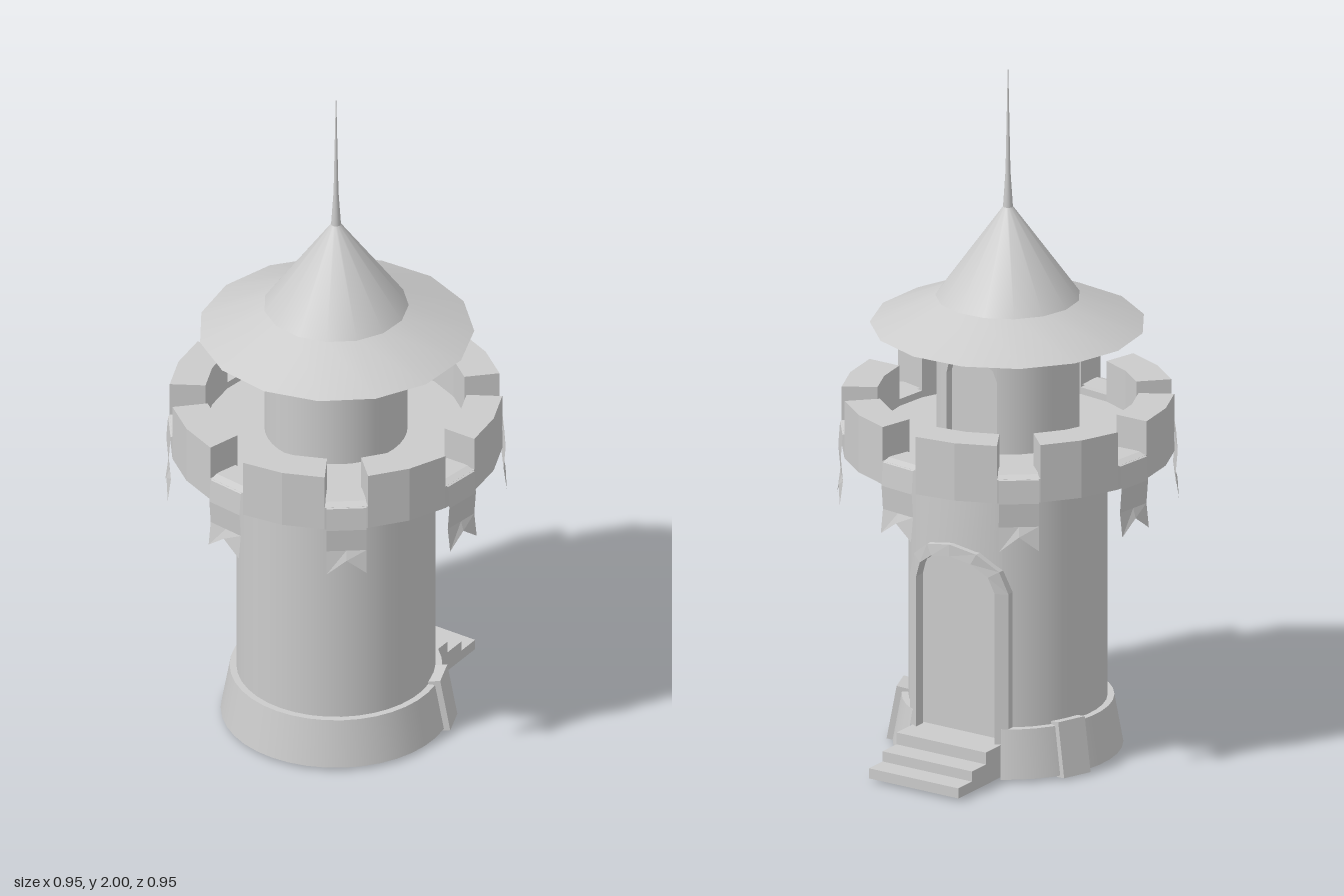
import * as THREE from 'three';

const smooth = new THREE.MeshStandardMaterial({ color: 0xcccccc, side: THREE.DoubleSide });
const flat = new THREE.MeshStandardMaterial({ color: 0xcccccc, side: THREE.DoubleSide, flatShading: true });
const STEP = Math.PI / 12; // one parapet segment

function add(parent, name, geometry, material = flat) {
  const mesh = new THREE.Mesh(geometry, material);
  mesh.name = name;
  parent.add(mesh);
  return mesh;
}

// Surface through rows of points
function grid(rows) {
  const n = rows[0].length;
  const index = [];
  for (let i = 0; i < rows.length - 1; i++) {
    for (let j = 0; j < n - 1; j++) {
      const a = i * n + j, b = a + n;
      index.push(a, b, a + 1, b, b + 1, a + 1);
    }
  }
  const geometry = new THREE.BufferGeometry().setFromPoints(rows.flat());
  geometry.setIndex(index);
  geometry.computeVertexNormals();
  return geometry;
}

function lathe(points, sides, phase = 0) {
  return new THREE.LatheGeometry(points.map(([r, y]) => new THREE.Vector2(r, y)), sides, phase);
}

// Point on the back of a round wall
const onWall = (x, y, r) => new THREE.Vector3(x, y, -Math.sqrt(r * r - x * x));

// Arch outline as [x, y] points, from sill to sill
function archOutline(w, sill, spring, rise) {
  const points = [[-w, sill]];
  for (let k = 0; k <= 6; k++) {
    const a = (k * Math.PI) / 6;
    points.push([-w * Math.cos(a), spring + rise * Math.sin(a)]);
  }
  points.push([w, sill]);
  return points;
}

// Round wall with an arched, recessed doorway at the back
function wallWithDoor(parent, name, r, y0, y1, door) {
  const { w, sill, spring, rise, panelZ } = door;
  const half = Math.asin(w / r);
  const wall = new THREE.CylinderGeometry(r, r, y1 - y0, 32, 1, true, Math.PI + half, 2 * (Math.PI - half));
  wall.translate(0, (y0 + y1) / 2, 0);
  add(parent, name + 'Wall', wall, smooth);

  const outline = archOutline(w, sill, spring, rise);
  const arch = outline.slice(1, -1);
  add(parent, name + 'Lintel', grid([
    arch.map(([x, y]) => onWall(x, y, r)),
    arch.map(([x]) => onWall(x, y1, r)),
  ]), smooth);
  add(parent, name + 'DoorReveal', grid([
    outline.map(([x, y]) => onWall(x, y, r)),
    outline.map(([x, y]) => new THREE.Vector3(x, y, panelZ)),
  ]));
  add(parent, name + 'Door', grid([
    arch.map(([x]) => new THREE.Vector3(x, sill, panelZ)),
    arch.map(([x, y]) => new THREE.Vector3(x, y, panelZ)),
  ]));
}

// Raised surround that follows the curve of the wall
function doorFrame(parent) {
  const inner = archOutline(0.132, 0.1, 0.55, 0.095);
  const outer = archOutline(0.165, 0.1, 0.55, 0.13);
  add(parent, 'doorFrame', grid(inner.map(([x, y], i) => {
    const [X, Y] = outer[i];
    return [onWall(x, y, 0.265), onWall(x, y, 0.295), onWall(X, Y, 0.295), onWall(X, Y, 0.265)];
  })));
}

// Merlon covering two parapet segments
function merlonGeometry() {
  const shape = new THREE.Shape();
  const corner = (r, k) => [r * Math.sin(k * STEP), -r * Math.cos(k * STEP)];
  shape.moveTo(...corner(0.465, 0));
  for (const [r, k] of [[0.465, 1], [0.465, 2], [0.365, 2], [0.365, 1], [0.365, 0]]) shape.lineTo(...corner(r, k));
  const geometry = new THREE.ExtrudeGeometry(shape, { depth: 0.1, bevelEnabled: false });
  return geometry.rotateX(-Math.PI / 2).translate(0, 0.95, 0);
}

// Swallow-tailed cloth draped over a gap
function bannerGeometry() {
  const path = [[0.37, 0.956], [0.44, 0.957], [0.466, 0.948], [0.471, 0.88], [0.465, 0.81], [0.474, 0.74]];
  return grid(path.map(([z, y], i) => [-1, 0, 1].map((s) => {
    const notch = i === path.length - 1 && s === 0 ? 0.042 : 0;
    return new THREE.Vector3(s * 0.056, y + notch, z);
  })));
}

export function createModel() {
  const tower = new THREE.Group();
  tower.name = 'watchtower';

  // Main shaft, with its doorway
  wallWithDoor(tower, 'shaft', 0.278, 0.14, 0.88, { w: 0.14, sill: 0.1, spring: 0.55, rise: 0.1, panelZ: -0.22 });
  doorFrame(tower);

  // Sloping plinth, open at the doorway
  const gap = Math.asin(0.155 / 0.31);
  const plinth = (points) => new THREE.LatheGeometry(
    points.map(([r, y]) => new THREE.Vector2(r, y)), 32, Math.PI + gap, 2 * (Math.PI - gap));
  add(tower, 'plinth', plinth([[0.322, 0.01], [0.297, 0.15]]), smooth);
  add(tower, 'plinthLedge', plinth([[0.297, 0.15], [0.276, 0.15]]), smooth);

  // Leaning blocks on the plinth
  for (const side of [-1, 1]) {
    const buttress = new THREE.Group();
    buttress.name = 'buttress';
    buttress.rotation.y = side * 1.94;
    const block = add(buttress, 'buttressBlock', new THREE.BoxGeometry(0.09, 0.16, 0.036));
    block.position.set(0, 0.083, 0.305);
    block.rotation.x = -0.18;
    tower.add(buttress);
  }

  // Steps to the door
  [[0.105, -0.335], [0.07, -0.405], [0.04, -0.473]].forEach(([top, z], i) => {
    const back = i === 0 ? -0.22 : -0.335 + (i - 1) * -0.07;
    const step = add(tower, 'step', new THREE.BoxGeometry(0.3, top - 0.01, back - z));
    step.position.set(0, (top + 0.01) / 2, (back + z) / 2);
  });

  // Parapet gallery
  add(tower, 'gallery', lathe(
    [[0.27, 0.88], [0.465, 0.88], [0.465, 0.95], [0.365, 0.95], [0.365, 0.93], [0.19, 0.93]], 24));

  // Merlons and the banners between them
  const merlon = merlonGeometry();
  const banner = bannerGeometry();
  for (let i = 0; i < 8; i++) {
    add(tower, 'merlon', merlon).rotation.y = i * 3 * STEP;
    add(tower, 'banner', banner).rotation.y = (i * 3 - 0.5) * STEP;
  }

  // Upper turret, with its own doorway
  wallWithDoor(tower, 'turret', 0.2, 0.93, 1.33, { w: 0.085, sill: 0.93, spring: 1.14, rise: 0.07, panelZ: -0.155 });

  // Flared roof and spire
  const phase = 0.045;
  add(tower, 'roofBrim', lathe([[0.386, 1.25], [0.203, 1.332]], 15, phase), smooth);
  add(tower, 'roofCone', lathe([[0.203, 1.332], [0.014, 1.595]], 15, phase), smooth);
  add(tower, 'spire', lathe([[0.014, 1.595], [0.007, 1.7], [0.001, 2]], 15, phase), smooth);

  return tower;
}
